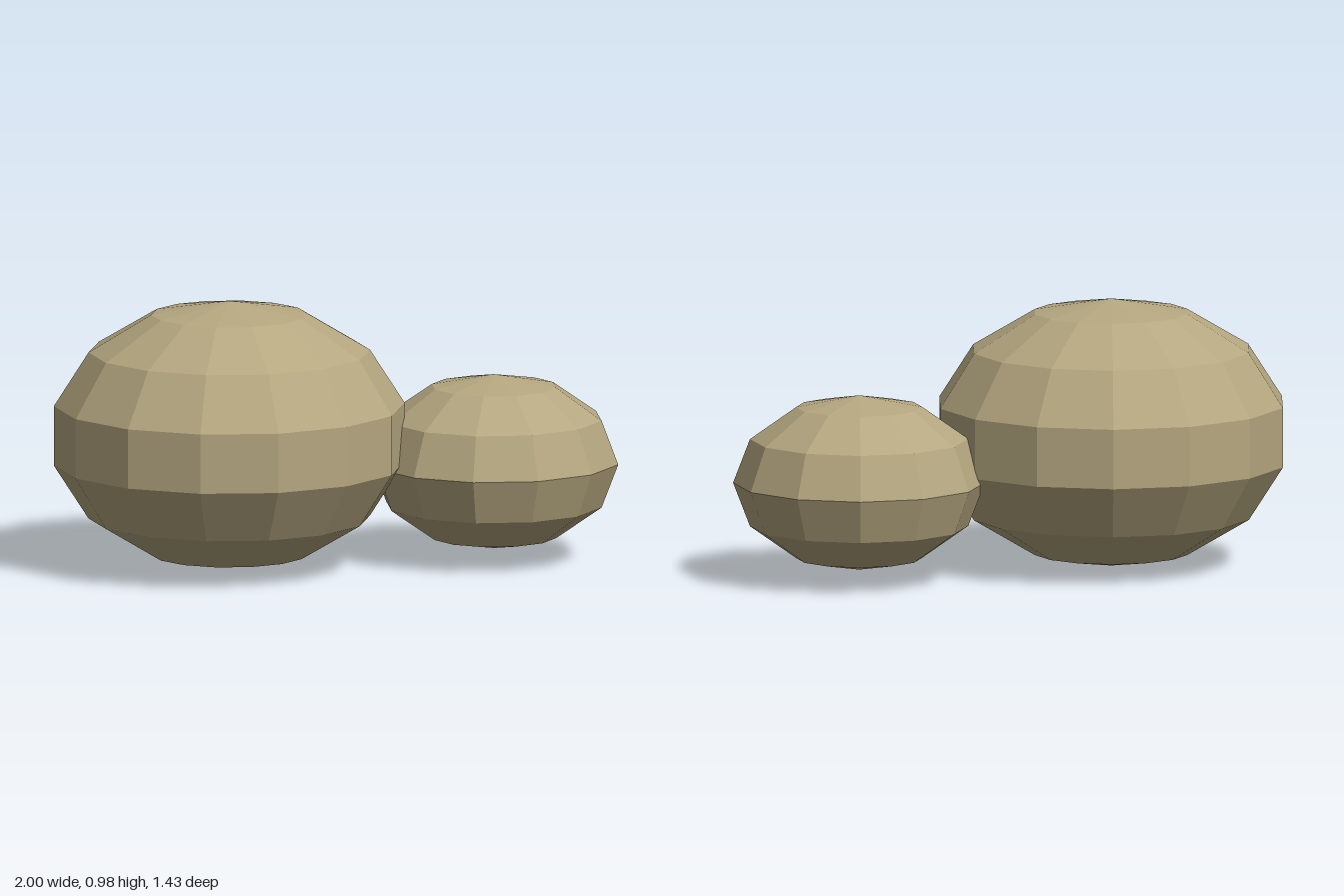
import * as THREE from 'three';

const stone = new THREE.MeshStandardMaterial({ color: 0xb5a780, flatShading: true });
stone.name = 'sandyStone';

// A squashed low-poly ball with a vertex column facing +z
function boulder(name, radius, squash, sides, rings, position) {
  const geometry = new THREE.SphereGeometry(radius, sides, rings);
  geometry.rotateY(Math.PI / 2);
  geometry.scale(1, squash, 1);
  const mesh = new THREE.Mesh(geometry, stone);
  mesh.name = name;
  mesh.position.set(...position);
  return mesh;
}

export function createModel() {
  const group = new THREE.Group();
  group.name = 'boulders';
  group.add(
    boulder('largeBoulder', 0.655, 0.75, 14, 7, [-0.378, 0.491, 0.075]),
    boulder('smallBoulder', 0.458, 0.7, 12, 6, [0.542, 0.36, -0.256]),
  );
  return group;
}
